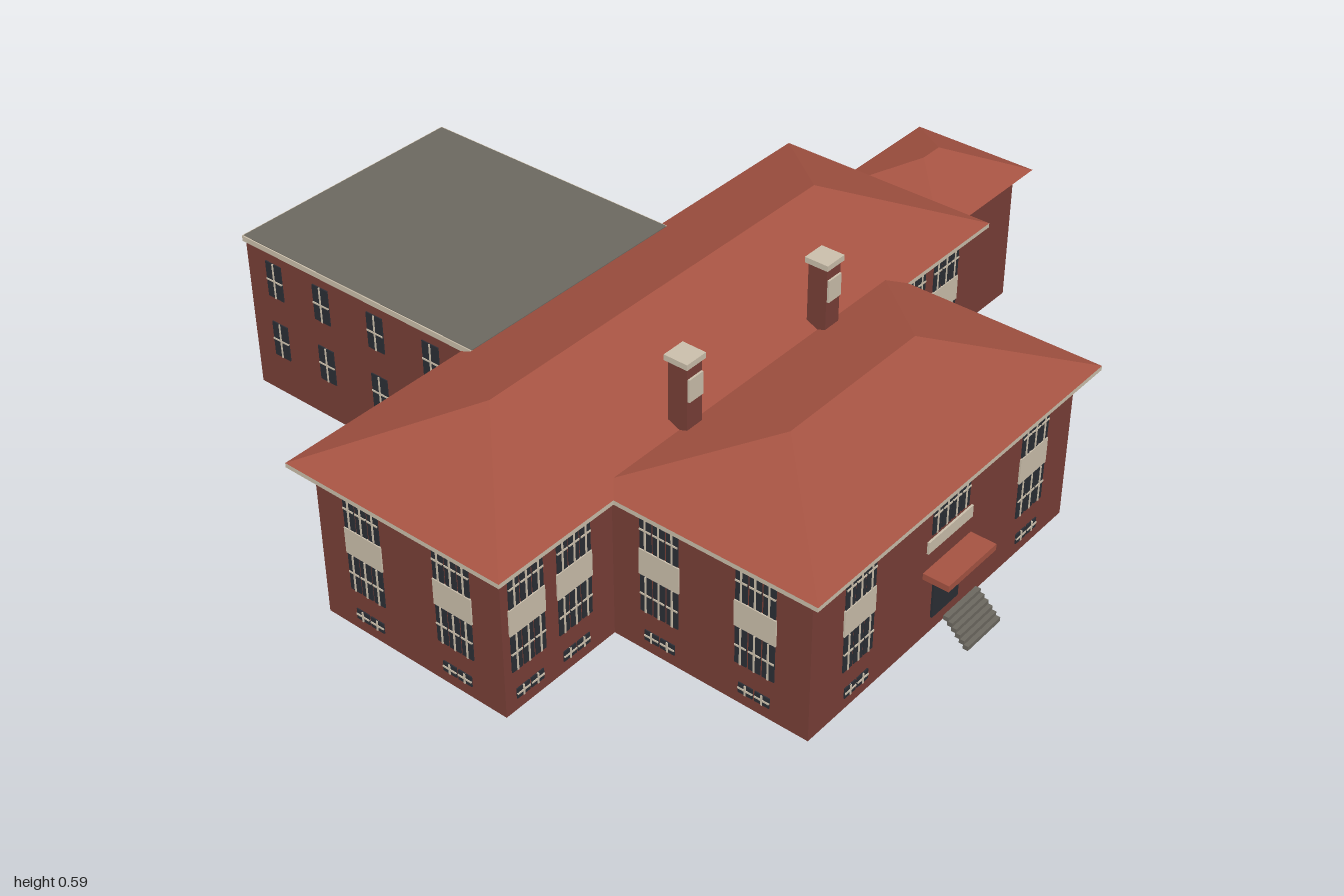
import * as THREE from 'three';

const mat = (name, color, side = THREE.FrontSide) => {
  const m = new THREE.MeshStandardMaterial({ color, side });
  m.name = name;
  return m;
};

export function createModel() {
  const model = new THREE.Group();
  model.name = 'building';
  const brick = mat('brick', 0x783f37, THREE.DoubleSide);
  const tile = mat('roofTile', 0xa55342);
  const cream = mat('creamStone', 0xcbbfab);
  const grey = mat('grey', 0x6c6860, THREE.DoubleSide);
  const glass = mat('darkGlass', 0x2b2e35);

  function add(parent, name, geometry, material) {
    const m = new THREE.Mesh(geometry, material);
    m.name = name;
    parent.add(m);
    return m;
  }
  // Box given by its minimum and maximum on each axis
  function box(parent, name, [x0, x1], [y0, y1], [z0, z1], material) {
    const m = add(parent, name, new THREE.BoxGeometry(x1 - x0, y1 - y0, z1 - z0), material);
    m.position.set((x0 + x1) / 2, (y0 + y1) / 2, (z0 + z1) / 2);
    return m;
  }
  // Four walls, open above and below
  function walls(name, [x0, x1], [z0, z1], h) {
    const g = new THREE.BoxGeometry(x1 - x0, h, z1 - z0);
    const kept = [];
    const idx = g.index.array;
    for (const s of g.groups) {
      if (s.materialIndex === 2 || s.materialIndex === 3) continue;
      kept.push(...idx.slice(s.start, s.start + s.count));
    }
    g.setIndex(kept);
    g.clearGroups();
    add(model, name, g, brick).position.set((x0 + x1) / 2, h / 2, (z0 + z1) / 2);
  }
  // Hipped roof with 45 degree hips in plan
  function hipRoof(name, [x0, x1], [z0, z1], eave, ridge) {
    const half = (z1 - z0) / 2, zm = (z0 + z1) / 2;
    const a = [x0, eave, z0], b = [x1, eave, z0], c = [x1, eave, z1], d = [x0, eave, z1];
    const p = [x0 + half, ridge, zm], q = [x1 - half, ridge, zm];
    const tris = [d, c, q, d, q, p, b, a, p, b, p, q, c, b, q, a, d, p, a, b, c, a, c, d];
    const g = new THREE.BufferGeometry();
    g.setAttribute('position', new THREE.Float32BufferAttribute(tris.flat(), 3));
    g.computeVertexNormals();
    add(model, name, g, tile);
  }

  // Main range, front wing and side annex
  walls('mainWalls', [-0.96, 0.63], [-0.19, 0.32], 0.39);
  box(model, 'mainEaves', [-1, 0.67], [0.386, 0.397], [-0.23, 0.36], cream);
  hipRoof('mainRoof', [-1, 0.67], [-0.23, 0.36], 0.397, 0.525);
  walls('frontWingWalls', [-0.63, 0.3], [0.32, 0.825], 0.39);
  box(model, 'frontWingEaves', [-0.67, 0.34], [0.386, 0.397], [0.29, 0.865], cream);
  hipRoof('frontWingRoof', [-0.67, 0.34], [0.285, 0.865], 0.397, 0.502);
  walls('annexWalls', [0.63, 0.965], [-0.03, 0.24], 0.36);
  hipRoof('annexRoof', [0.6, 1], [-0.065, 0.272], 0.358, 0.435);

  // Flat-roofed rear block with a pale edge around the roof
  walls('rearWalls', [-0.485, 0.16], [-0.925, -0.19], 0.398);
  box(model, 'rearRoof', [-0.488, 0.163], [0.398, 0.412], [-0.928, -0.2], grey);
  for (const x of [-0.488, 0.163])
    box(model, 'rearRoofEdge', [x - 0.003, x + 0.003], [0.397, 0.411], [-0.93, -0.2], cream);
  box(model, 'rearRoofEdge', [-0.49, 0.165], [0.397, 0.411], [-0.931, -0.925], cream);

  // Chimneys
  for (const x of [-0.4, 0.07]) {
    box(model, 'chimney', [x - 0.024, x + 0.024], [0.31, 0.574], [0.296, 0.346], brick);
    box(model, 'chimneyPanel', [x - 0.022, x + 0.022], [0.49, 0.546], [0.346, 0.351], cream);
    box(model, 'chimneyCap', [x - 0.03, x + 0.03], [0.574, 0.588], [0.29, 0.351], cream);
  }

  // Window parts lie on the local z = 0 plane, facing +z
  function sash(parent, x, y0, y1, w) {
    const ym = (y0 + y1) / 2;
    box(parent, 'windowGlass', [x - w / 2, x + w / 2], [y0, y1], [0.001, 0.004], glass);
    box(parent, 'windowBar', [x - 0.002, x + 0.002], [y0, y1], [0.002, 0.006], cream);
    box(parent, 'windowBar', [x - w / 2, x + w / 2], [ym - 0.002, ym + 0.002], [0.002, 0.006], cream);
  }
  function row(parent, count, width, y0, y1) {
    const pitch = width / count;
    for (let i = 0; i < count; i++)
      sash(parent, (i - (count - 1) / 2) * pitch, y0, y1, pitch - 0.005);
  }
  function onWall(name, x, z, turn) {
    const g = new THREE.Group();
    g.name = name;
    g.position.set(x, 0, z);
    g.rotation.y = turn;
    model.add(g);
    return g;
  }
  function bay(x, z, turn, panel = true) {
    const g = onWall('windowBay', x, z, turn);
    row(g, 3, 0.104, 0.272, panel ? 0.372 : 0.355);
    row(g, 3, 0.104, 0.108, 0.202);
    if (panel) box(g, 'windowPanel', [-0.052, 0.052], [0.204, 0.27], [0.001, 0.005], cream);
    row(g, 2, 0.084, 0.032, 0.058);
  }

  const front = 0, back = Math.PI, left = Math.PI / 2, right = -Math.PI / 2;
  for (const x of [-0.89, -0.75, 0.42, 0.555]) bay(x, 0.32, front);
  for (const x of [-0.475, 0.15]) bay(x, 0.825, front);
  for (const x of [-0.885, -0.74, -0.57, 0.25, 0.41, 0.555]) bay(x, -0.19, back);
  for (const z of [0.69, 0.445]) {
    bay(0.3, z, left);
    bay(-0.63, z, right);
  }
  for (const z of [-0.06, 0.19]) bay(-0.96, z, right);
  bay(0.63, -0.06, left);
  bay(0.965, 0.105, left, false);

  // Paired windows along both sides of the rear block
  for (const z of [-0.33, -0.505, -0.68, -0.835])
    for (const [x, turn] of [[0.16, left], [-0.485, right]]) {
      const g = onWall('rearWindow', x, z, turn);
      sash(g, 0, 0.275, 0.37, 0.05);
      sash(g, 0, 0.108, 0.202, 0.05);
    }

  // Entrance: window, panel, canopy, door and steps
  const entrance = onWall('entrance', -0.163, 0.825, front);
  row(entrance, 4, 0.136, 0.272, 0.372);
  box(entrance, 'entrancePanel', [-0.08, 0.08], [0.232, 0.262], [0.001, 0.006], cream);
  box(entrance, 'canopy', [-0.087, 0.087], [0.168, 0.184], [-0.004, 0.064], tile);
  box(entrance, 'door', [-0.048, 0.048], [0.04, 0.168], [-0.005, 0.005], glass);
  for (let i = 0; i < 6; i++) {
    const y = 0.014 + i * 0.01, z = 0.105 - i * 0.0105;
    box(entrance, 'step', [-0.06, 0.06], [y, y + 0.011], [z - 0.013, z], grey);
  }
  return model;
}
